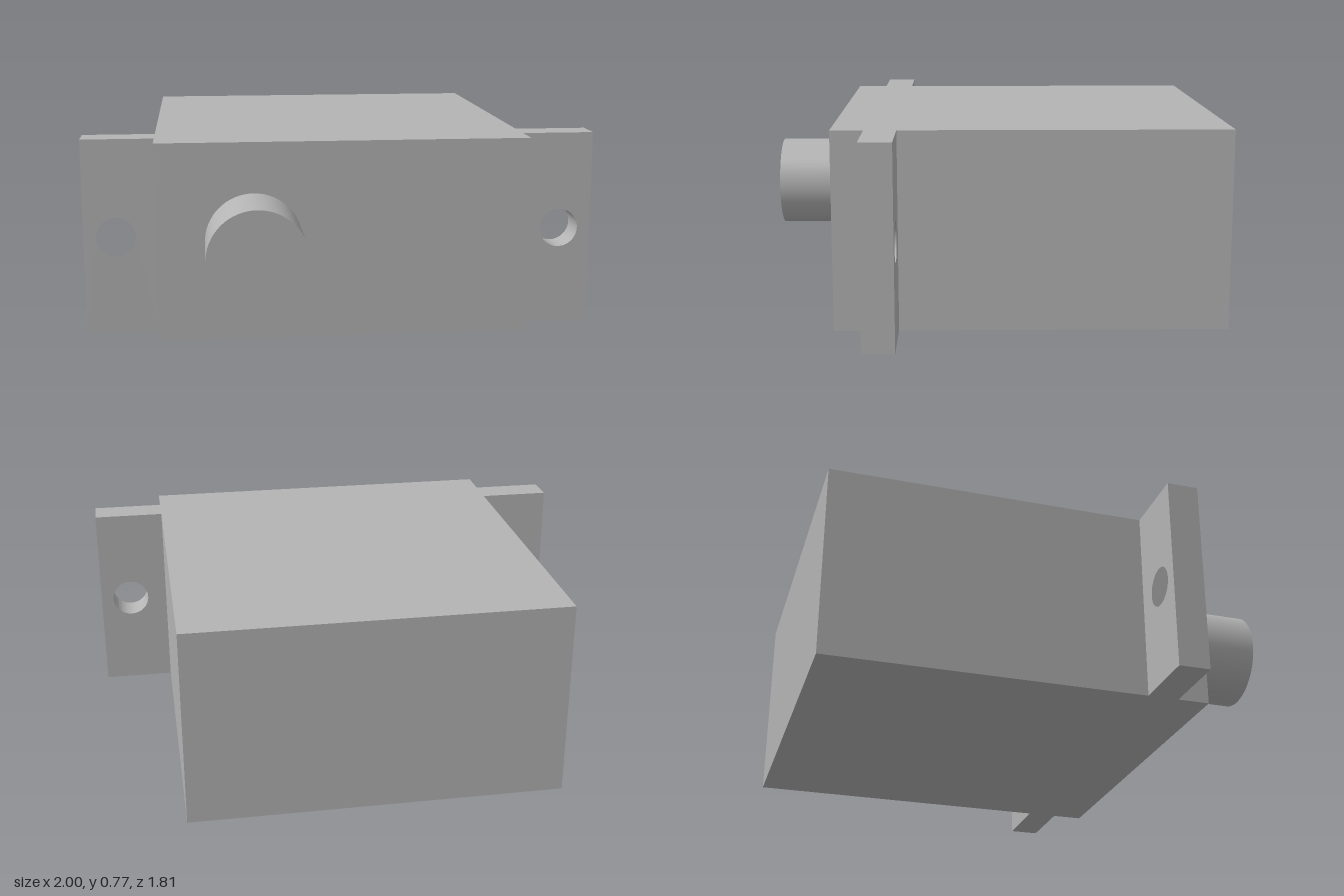
import * as THREE from 'three';
import { toCreasedNormals } from 'three/addons/utils/BufferGeometryUtils.js';

const HEIGHT = 0.766, MID = HEIGHT / 2;
const BODY_X = 0.719, BACK = -0.906, FRONT = 0.592;
const EAR_BACK = 0.345, EAR_DEPTH = 0.122;
const SHAFT_X = -0.346, SHAFT_R = 0.187, SHAFT_END = 0.906;
const HOLE_X = 0.874, HOLE_R = 0.076;

export function createModel() {
  const model = new THREE.Group();
  model.name = 'servoMotor';
  const grey = new THREE.MeshStandardMaterial({ color: 0xb4b4b4 });
  grey.name = 'grey';

  const add = (name, geometry, x = 0, y = 0, z = 0) => {
    const mesh = new THREE.Mesh(geometry, grey);
    mesh.name = name;
    mesh.position.set(x, y, z);
    model.add(mesh);
  };

  // Main housing
  add('housing', new THREE.BoxGeometry(BODY_X * 2, HEIGHT, FRONT - BACK), 0, MID, (FRONT + BACK) / 2);

  // Mounting ears, each with a round screw hole
  for (const [name, side] of [['leftMountingEar', 1], ['rightMountingEar', -1]]) {
    const shape = new THREE.Shape([
      new THREE.Vector2(side * BODY_X, 0),
      new THREE.Vector2(side, 0),
      new THREE.Vector2(side, HEIGHT),
      new THREE.Vector2(side * BODY_X, HEIGHT),
    ]);
    shape.holes.push(new THREE.Path().absarc(side * HOLE_X, MID, HOLE_R, 0, Math.PI * 2, true));
    const ear = new THREE.ExtrudeGeometry(shape, { depth: EAR_DEPTH, bevelEnabled: false, curveSegments: 48 });
    add(name, toCreasedNormals(ear, 0.6), 0, 0, EAR_BACK);
  }

  // Output shaft, off-centre on the front face
  const shaft = new THREE.CylinderGeometry(SHAFT_R, SHAFT_R, SHAFT_END - FRONT, 64);
  shaft.rotateX(Math.PI / 2);
  add('outputShaft', shaft, SHAFT_X, MID, (SHAFT_END + FRONT) / 2);

  return model;
}
